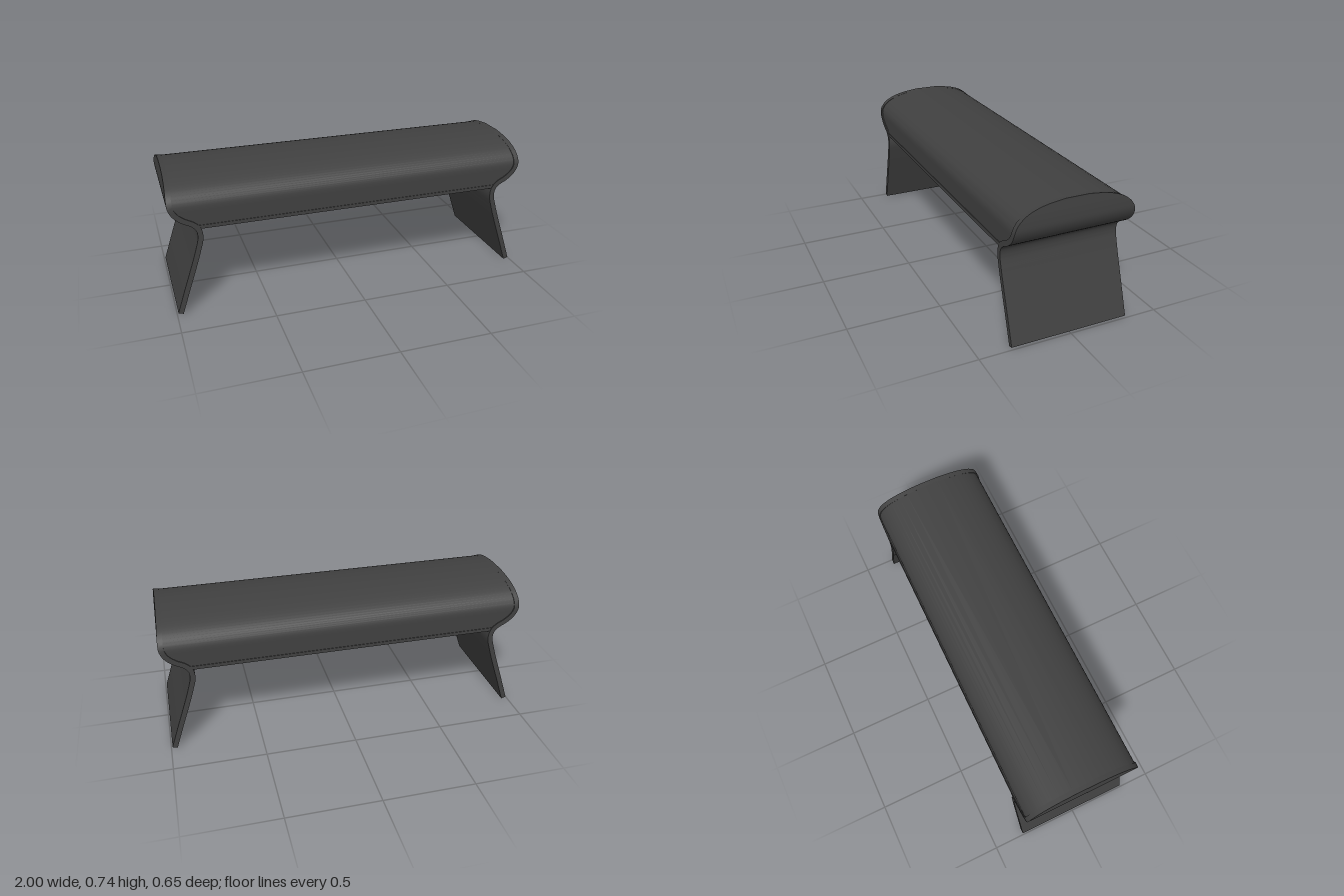
import * as THREE from 'three';
import { toCreasedNormals } from 'three/addons/utils/BufferGeometryUtils.js';

const THICK = 0.028;

// Half depth of the bench at height y: straight below, domed at the top
const DOME = [[0.6, 0.325], [0.62, 0.323], [0.64, 0.316], [0.665, 0.3], [0.69, 0.27],
  [0.708, 0.235], [0.722, 0.195], [0.735, 0.13], [0.742, 0.065]];
function halfDepth(y) {
  if (y <= DOME[0][0]) return DOME[0][1];
  for (let i = 1; i < DOME.length; i++) {
    const [y0, d0] = DOME[i - 1], [y1, d1] = DOME[i];
    if (y <= y1) return d0 + (d1 - d0) * (y - y0) / (y1 - y0);
  }
  return DOME[DOME.length - 1][1];
}

// Solid skinned over four-cornered sections stacked from bottom to top
function loft(sections) {
  const pos = [];
  const quad = (a, b, c, d) => [a, b, c, a, c, d].forEach((p) => pos.push(...p));
  for (let i = 0; i < sections.length - 1; i++) {
    const lo = sections[i], hi = sections[i + 1];
    for (let j = 0; j < 4; j++) {
      const k = (j + 1) % 4;
      quad(lo[j], lo[k], hi[k], hi[j]);
    }
  }
  const b = sections[0], t = sections[sections.length - 1];
  quad(b[0], b[3], b[2], b[1]);
  quad(t[0], t[1], t[2], t[3]);
  const geo = new THREE.BufferGeometry();
  geo.setAttribute('position', new THREE.Float32BufferAttribute(pos, 3));
  return toCreasedNormals(geo, 0.6);
}

export function createModel() {
  const group = new THREE.Group();
  const material = new THREE.MeshStandardMaterial({ color: 0x404040 });
  const add = (name, geo) => {
    const mesh = new THREE.Mesh(geo, material);
    mesh.name = name;
    group.add(mesh);
    return mesh;
  };

  // Centre line of the bent side panel, from foot to armrest rim
  const curve = new THREE.CatmullRomCurve3([
    [0.98, 0.004], [0.94, 0.124], [0.86, 0.364], [0.842, 0.44], [0.85, 0.485], [0.877, 0.514],
    [0.922, 0.539], [0.962, 0.573], [0.983, 0.615], [0.985, 0.655], [0.977, 0.742],
  ].map(([x, y]) => new THREE.Vector3(x, y, 0)), false, 'centripetal');

  const panel = [], cushion = [];
  const N = 90;
  for (let i = 0; i <= N; i++) {
    const { x, y } = curve.getPointAt(i / N);
    const t = curve.getTangentAt(i / N);
    const nx = t.y * THICK / 2, ny = -t.x * THICK / 2;
    const d = halfDepth(y);
    panel.push([[x + nx, y + ny, d], [x + nx, y + ny, -d], [x - nx, y - ny, -d], [x - nx, y - ny, d]]);
    // The cushion ends follow the panels, set in slightly at front and back
    if (y > 0.49) {
      const c = d - 0.005, h = y - 0.001;
      cushion.push([[x, h, c], [x, h, -c], [-x, h, -c], [-x, h, c]]);
    }
  }

  // Side panels, the right one turned half round
  const panelGeo = loft(panel);
  add('leftSidePanel', panelGeo);
  add('rightSidePanel', panelGeo).rotation.y = Math.PI;

  // Domed seat cushion
  add('seatCushion', loft(cushion));

  // Thin board under the cushion
  add('seatBoard', new THREE.BoxGeometry(1.7, 0.02, 0.646)).position.y = 0.495;

  return group;
}
